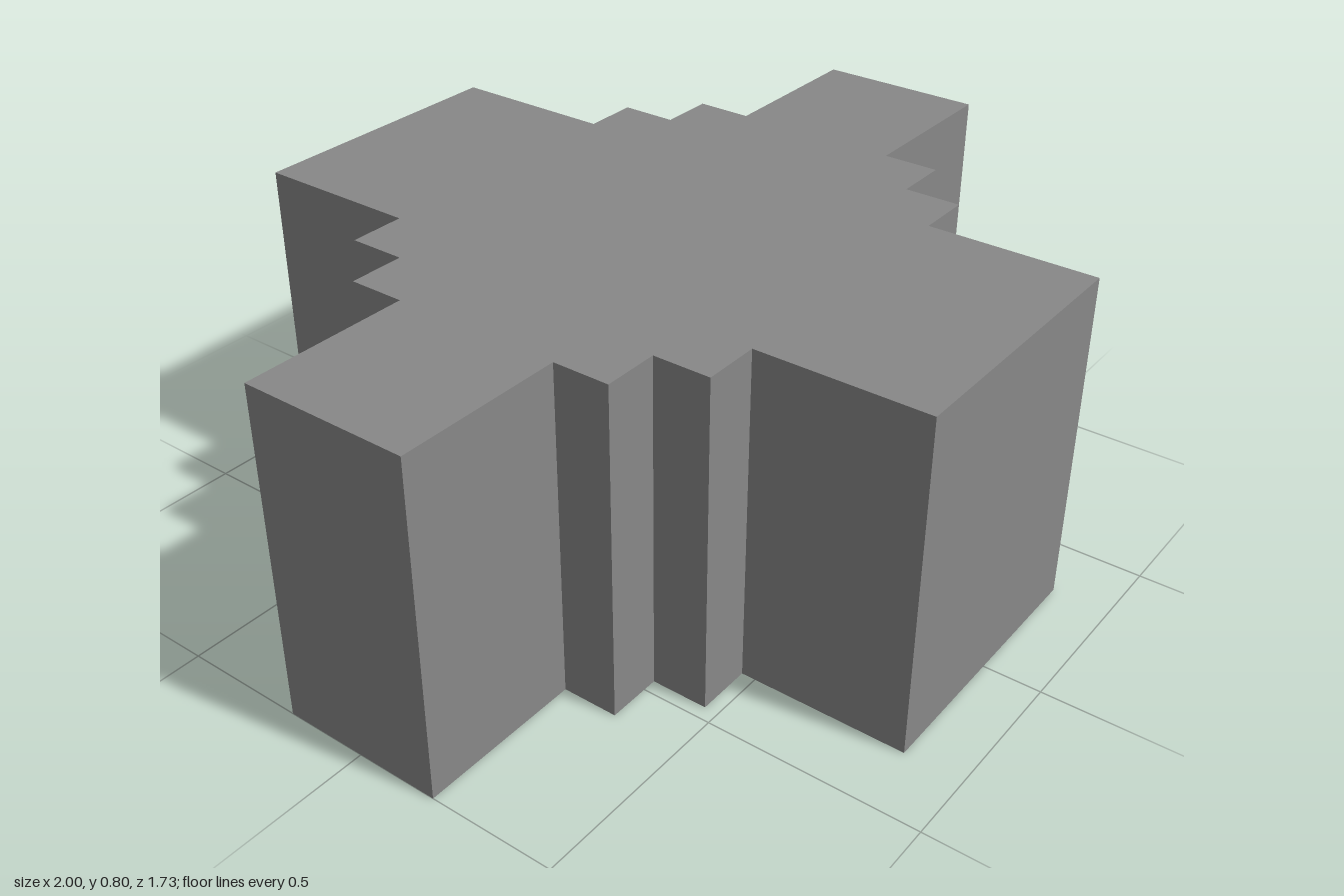
import * as THREE from 'three';

export function createModel() {
  const group = new THREE.Group();
  group.name = 'steppedCross';
  const grey = new THREE.MeshStandardMaterial({ color: 0x888888 });
  grey.name = 'grey';

  // One stepped quarter of the plan, from the side arm round to the front arm
  const quarter = [
    [1, 0.2], [0.6, 0.2], [0.6, 0.333], [0.467, 0.333],
    [0.467, 0.467], [0.333, 0.467], [0.333, 0.865],
  ];

  // Mirror the quarter into the full outline, keeping counter-clockwise order
  const outline = [];
  for (const [sx, sy] of [[1, 1], [-1, 1], [-1, -1], [1, -1]]) {
    const points = quarter.map(([x, y]) => new THREE.Vector2(x * sx, y * sy));
    outline.push(...(sx * sy > 0 ? points : points.reverse()));
  }

  // Raise the plan into a solid block standing on the ground
  const geometry = new THREE.ExtrudeGeometry(new THREE.Shape(outline), {
    depth: 0.8, bevelEnabled: false,
  });
  geometry.rotateX(-Math.PI / 2);

  const block = new THREE.Mesh(geometry, grey);
  block.name = 'crossBlock';
  group.add(block);
  return group;
}
